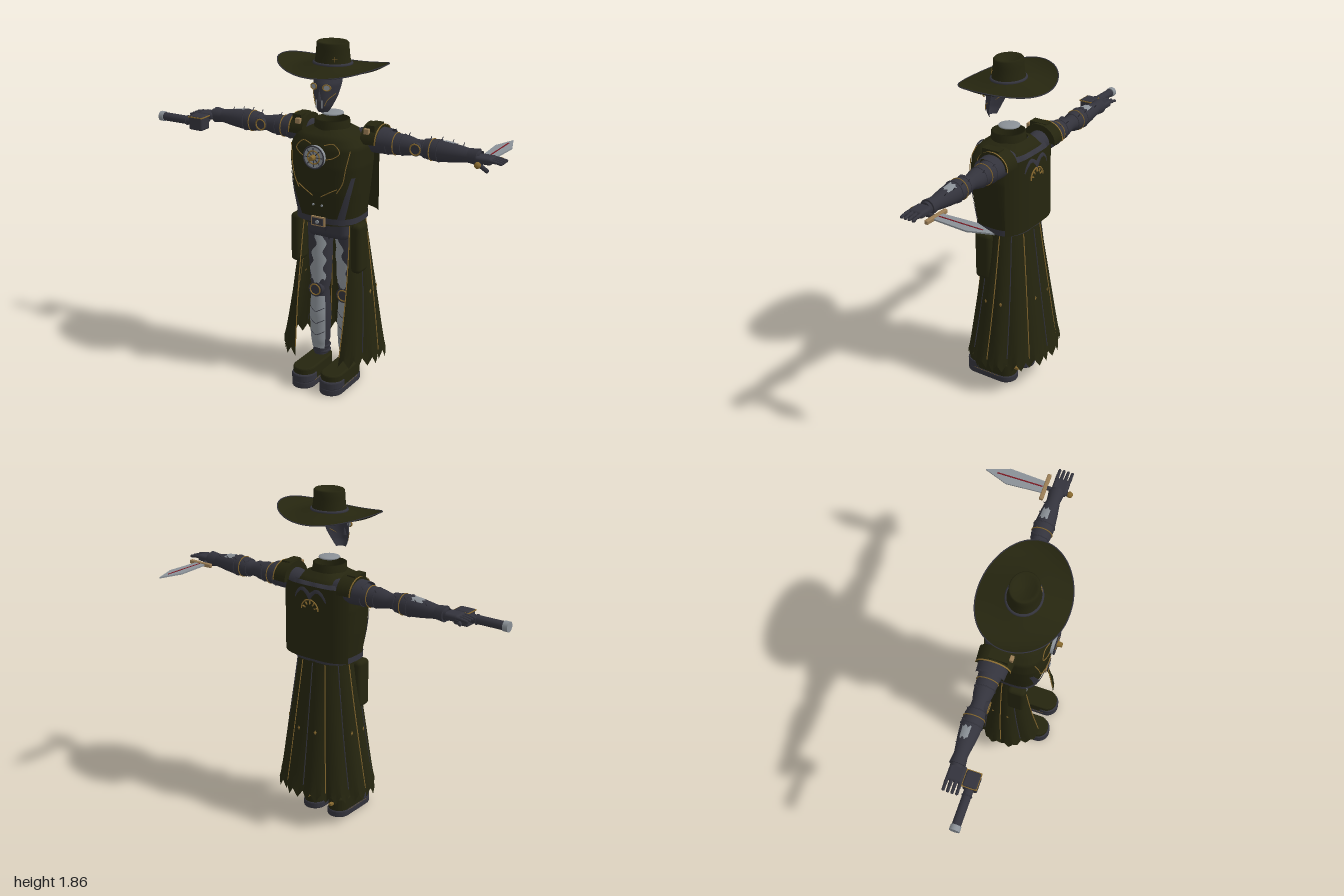
import * as THREE from 'three';
import { ParametricGeometry } from 'three/addons/geometries/ParametricGeometry.js';
import { RoundedBoxGeometry } from 'three/addons/geometries/RoundedBoxGeometry.js';

const mat = (name, color) => {
  const m = new THREE.MeshStandardMaterial({ color, side: THREE.DoubleSide });
  m.name = name;
  return m;
};
const { lerp } = THREE.MathUtils;
const V = (x, y, z) => new THREE.Vector3(x, y, z);

export function createModel() {
  const coat = mat('olive cloth', 0x25250f), dark = mat('dark leather', 0x33333c);
  const steel = mat('pale steel', 0x8a9096), gold = mat('old gold', 0x86682e);
  const red = mat('red inlay', 0x7a1822), tan = mat('tan brass', 0x9a7d55);

  const root = new THREE.Group();
  const body = new THREE.Group();
  body.name = 'figure';
  body.position.x = 0.08;
  root.add(body);

  const add = (name, geo, m, x = 0, y = 0, z = 0, rx = 0, ry = 0, rz = 0) => {
    const mesh = new THREE.Mesh(geo, m);
    mesh.name = name;
    mesh.position.set(x, y, z);
    mesh.rotation.set(rx, ry, rz);
    body.add(mesh);
    return mesh;
  };
  // surface from a rule (u, v) => point
  const sheet = (name, m, f, nu = 24, nv = 8) =>
    add(name, new ParametricGeometry((u, v, t) => t.copy(f(u, v)), nu, nv), m);
  const tube = (name, m, pts, r = 0.003) =>
    add(name, new THREE.TubeGeometry(new THREE.CatmullRomCurve3(pts), pts.length * 4, r, 5), m);
  const box = (w, h, d) => new THREE.BoxGeometry(w, h, d);
  const rbox = (w, h, d, r) => new RoundedBoxGeometry(w, h, d, 2, r);
  const cyl = (a, b, h, n = 20) => new THREE.CylinderGeometry(a, b, h, n);
  const lathe = (pts, n = 24) => new THREE.LatheGeometry(pts.map(p => new THREE.Vector2(p[0], p[1])), n);
  // linear lookup in rows keyed by their first number
  const look = (rows, k) => {
    let i = 0;
    while (i < rows.length - 2 && k > rows[i + 1][0]) i++;
    const f = THREE.MathUtils.clamp((k - rows[i][0]) / (rows[i + 1][0] - rows[i][0]), 0, 1);
    return rows[i].map((n, j) => lerp(n, rows[i + 1][j], f));
  };
  const pow = (n, e) => Math.sign(n) * Math.abs(n) ** e;

  // Hat: curled brim, dented crown, band
  sheet('hatBrim', coat, (u, v) => {
    const a = u * Math.PI * 2, s = 1 - v, c2 = Math.cos(a) ** 2, s2 = 1 - c2;
    return V(Math.sin(a) * lerp(0.09, 0.295, s), 1.75 - 0.038 * s * c2 + s2 * (-0.065 * s + 0.08 * s ** 3),
      0.12 + Math.cos(a) * lerp(0.075, 0.228, s));
  }, 48, 10);
  tube('brimEdge', dark, Array.from({ length: 33 }, (_, i) => {
    const a = i / 32 * Math.PI * 2, c2 = Math.cos(a) ** 2;
    return V(Math.sin(a) * 0.295, 1.75 - 0.038 * c2 + (1 - c2) * 0.015, 0.12 + Math.cos(a) * 0.228);
  }));
  add('hatCrown', lathe([[0.098, 1.74], [0.09, 1.78], [0.086, 1.82], [0.085, 1.85], [0.078, 1.857], [0.06, 1.85], [0.03, 1.838], [0, 1.835]], 32),
    coat, 0, 0, 0.12).scale.z = 0.88;
  add('hatBand', new THREE.TorusGeometry(0.097, 0.009, 8, 32), dark, 0, 1.748, 0.12, Math.PI / 2).scale.y = 0.88;
  for (const r of [0, Math.PI / 2]) add('hatStitch', box(0.028, 0.003, 0.003), gold, 0.05, 1.78, 0.189, 0, 0.5, r);

  // Face mask
  const maskRows = [[1.52, 0.03, 0.245], [1.55, 0.05, 0.257], [1.6, 0.07, 0.255], [1.66, 0.083, 0.248], [1.69, 0.08, 0.232]];
  const maskPt = (k, y, off = 0) => {
    const [, w, z] = look(maskRows, y);
    return V(k * w, y, z + off - 0.075 * Math.abs(k) ** 2.2 * (w / 0.083));
  };
  sheet('faceMask', dark, (u, v) => maskPt(u * 2 - 1, lerp(1.52, 1.69, v)), 12, 8);
  for (const s of [-1, 1]) {
    add('eyeLens', cyl(0.016, 0.016, 0.006), steel, s * 0.037, 1.648, 0.243, Math.PI / 2, 0, -s * 0.3);
    add('eyeRim', new THREE.TorusGeometry(0.02, 0.004, 6, 16), gold, s * 0.037, 1.648, 0.246, 0, s * 0.3).scale.y = 0.75;
    tube('maskTrim', gold, [0.9, 0.6, 0.5].map((k, i) => maskPt(s * k, 1.615 - i * 0.03, 0.003)), 0.002);
    add('maskVent', box(0.006, 0.04, 0.004), steel, s * 0.016, 1.565, 0.257);
  }
  add('maskNose', new THREE.ConeGeometry(0.014, 0.06, 4), dark, 0, 1.61, 0.256);

  // Neck cap and collar
  add('neckCap', new THREE.SphereGeometry(0.058, 20, 10), steel, 0, 1.49, 0.12).scale.y = 0.2;
  add('collar', lathe([[0.096, 1.39], [0.09, 1.462], [0.082, 1.465], [0.08, 1.39]]), coat, 0, 0, 0.125);

  // Torso
  const torsoRows = [[0.95, 0.172, 0.262, -0.02], [1.1, 0.192, 0.282, -0.032], [1.25, 0.208, 0.288, -0.038],
    [1.34, 0.205, 0.28, -0.034], [1.39, 0.165, 0.26, -0.01], [1.425, 0.085, 0.21, 0.03]];
  const torsoPt = (a, y, off = 0) => {
    const [, w, f, b] = look(torsoRows, y);
    return V((w + off) * pow(Math.sin(a), 0.7), y, (f + b) / 2 + ((f - b) / 2 + off) * pow(Math.cos(a), 0.7));
  };
  sheet('coatTorso', coat, (u, v) => torsoPt(u * Math.PI * 2, lerp(0.95, 1.425, v)), 48, 20);
  sheet('backPanel', coat, (u, v) => {
    const k = 1 - u * 2;
    return V(k * 0.21, lerp(0.965, 1.37, v), -0.047 + 0.055 * k ** 4);
  }, 16, 4);
  sheet('backYoke', dark, (u, v) => {
    const k = 1 - u * 2;
    return V(k * 0.16, lerp(1.385, 1.29 + 0.05 * Math.abs(Math.sin(k * 5)), 1 - v), -0.053 + 0.05 * k ** 4 + 0.03 * v * v);
  }, 16, 4);
  add('backArc', new THREE.TorusGeometry(0.055, 0.004, 6, 20, Math.PI), gold, 0, 1.24, -0.05);
  for (let i = 0; i < 5; i++) {
    const a = Math.PI * (i + 0.5) / 5;
    add('backArcStud', box(0.006, 0.018, 0.006), gold, Math.cos(a) * 0.04, 1.24 + Math.sin(a) * 0.04, -0.05, 0, 0, a - Math.PI / 2);
  }
  for (const s of [-1, 1]) {
    sheet('frontDarkStrip', dark, (u, v) => torsoPt(s * (lerp(0.62, 1.0, v) + (u - 0.5) * lerp(0.16, 0.3, 1 - v)), lerp(0.97, 1.2, v), 0.004), 4, 6);
    const chest = [
      [[0.1, 1.36], [0.35, 1.37], [0.5, 1.33], [0.3, 1.3], [0.12, 1.29]],
      [[0.85, 1.34], [0.7, 1.25], [0.62, 1.17], [0.45, 1.12]],
      [[0.05, 1.09], [0.25, 1.12], [0.45, 1.14]]];
    for (const line of chest) tube('chestCord', gold, line.map(([a, y]) => torsoPt(s * a, y, 0.004)), 0.0025);
    add('chestStud', cyl(0.006, 0.006, 0.01, 8), steel, s * 0.025, 1.04, 0.275, Math.PI / 2);
  }

  // Chest medallion
  add('medallionDisc', cyl(0.056, 0.06, 0.02, 28), steel, -0.005, 1.3, 0.296, Math.PI / 2);
  for (const r of [0.058, 0.034]) add('medallionRing', new THREE.TorusGeometry(r, 0.004, 6, 28), r > 0.05 ? dark : gold, -0.005, 1.3, 0.306);
  for (let i = 0; i < 4; i++) add('medallionSpoke', box(0.1, 0.004, 0.004), dark, -0.005, 1.3, 0.307, 0, 0, i * Math.PI / 4);
  add('medallionHub', cyl(0.012, 0.016, 0.03, 12), gold, -0.005, 1.3, 0.32, Math.PI / 2);

  // Belt and buckle
  sheet('belt', dark, (u, v) => torsoPt(u * Math.PI * 2, 0.95, 0.006).setY(lerp(0.94, 0.972, v)), 40, 2);
  sheet('waistWrap', coat, (u, v) => {
    const a = u * Math.PI * 2;
    return V(Math.sin(a) * 0.175, lerp(0.925, 0.955, v), 0.115 + Math.cos(a) * 0.14);
  }, 32, 2);
  add('buckleFrame', box(0.08, 0.05, 0.012), tan, 0, 0.95, 0.27);
  add('buckleFace', box(0.064, 0.036, 0.008), dark, 0, 0.95, 0.275);
  add('buckleStud', cyl(0.01, 0.01, 0.008, 12), steel, 0, 0.95, 0.281, Math.PI / 2);

  // Long coat skirt: open front, pleats, ragged hem
  const panels = 10;
  const skirtPt = (u, t, off = 0) => {
    const open = lerp(0.9, 0.5, t), a = open + u * (Math.PI * 2 - 2 * open);
    const pl = Math.abs(Math.sin(u * panels * Math.PI)) * 0.018 * t + off;
    const hem = 0.045 * Math.abs(((u * panels * 2.5 + 0.5) % 1) * 2 - 1) * t ** 10;
    return V(Math.sin(a) * (lerp(0.17, 0.272, t) + pl), 0.95 - 0.79 * t + hem, 0.1 + Math.cos(a) * (lerp(0.125, 0.222, t) + pl));
  };
  sheet('coatSkirt', coat, (u, v) => skirtPt(u, 1 - v), 150, 14);
  for (let k = 0; k <= panels; k++)
    tube('skirtSeam', k % 2 ? dark : gold, [0.02, 0.3, 0.6, 0.93].map(t => skirtPt(k / panels, t, 0.002)), 0.003);
  for (const u of [0.15, 0.25, 0.45, 0.55, 0.75, 0.85]) {
    const p = skirtPt(u, 0.5, 0.002);
    const flower = add('skirtFlower', new THREE.OctahedronGeometry(0.014), gold, p.x, p.y, p.z);
    flower.lookAt(p.x * 2, p.y, p.z * 2 - 0.1);
    flower.scale.set(0.6, 1, 0.25);
  }

  // Hips
  add('hips', rbox(0.25, 0.13, 0.17, 0.04), dark, 0, 0.89, 0.11);
  add('hipFlap', new THREE.ConeGeometry(0.07, 0.12, 4), dark, 0, 0.87, 0.16, Math.PI, 0, 0);

  const legRows = [[0.09, 0.036], [0.17, 0.042], [0.2, 0.05], [0.35, 0.056], [0.45, 0.05], [0.5, 0.046], [0.55, 0.056], [0.7, 0.064], [0.85, 0.068], [0.92, 0.06]];
  const armRows = [[0.1, 0.05], [0.16, 0.062], [0.24, 0.063], [0.33, 0.056], [0.4, 0.05], [0.44, 0.04], [0.47, 0.04], [0.51, 0.053], [0.56, 0.056], [0.64, 0.048], [0.72, 0.036], [0.79, 0.032]];
  const flip = rows => rows.map(([a, b]) => [b, a]);
  const stadium = (w, len, h) => {
    const sh = new THREE.Shape(), r = w / 2, e = len / 2 - r;
    sh.absarc(0, e, r, 0, Math.PI).absarc(0, -e, r, Math.PI, Math.PI * 2);
    const g = new THREE.ExtrudeGeometry(sh, { depth: h, bevelSize: 0.008, bevelThickness: 0.008, bevelOffset: -0.008, bevelSegments: 2, curveSegments: 12 });
    return g.rotateX(-Math.PI / 2);
  };

  for (const s of [-1, 1]) {
    // Side pouch
    add('sidePouch', rbox(0.06, 0.27, 0.1, 0.024), coat, s * 0.18, 0.805, 0.16);

    // Leg with armour following its surface
    const lx = s * 0.085, lz = 0.1;
    add('leg', lathe(flip(legRows)), dark, lx, 0, lz);
    const legPt = (a, y) => {
      const r = look(legRows, y)[1] + 0.005;
      return V(lx + Math.sin(a) * r, y, lz + Math.cos(a) * r);
    };
    sheet('shinPlate', steel, (u, v) => legPt((u - 0.5) * 1.9, lerp(0.16 - 0.015 * Math.abs(u - 0.5), 0.47, v)), 12, 10);
    for (const y of [0.24, 0.31, 0.38])
      tube('shinLine', dark, [-0.85, -0.4, 0, 0.4, 0.85].map(a => legPt(a, y + Math.abs(a) * 0.025)), 0.002);
    sheet('thighPatch', steel, (u, v) => {
      const jag = 0.16 * Math.sin(v * 19), mid = -s * lerp(0.1, 0.55, v);
      return legPt(mid + (u - 0.5) * (1.5 - 1.0 * v) + jag, lerp(0.555 + 0.02 * Math.sin(u * 9), 0.85, v));
    }, 10, 24);
    add('kneeJoint', cyl(0.042, 0.042, 0.03, 16), dark, lx, 0.51, lz + 0.045, Math.PI / 2);
    add('kneeRing', new THREE.TorusGeometry(0.03, 0.004, 6, 18), gold, lx, 0.51, lz + 0.062);
    for (const y of [0.13, 0.16]) add('ankleRing', new THREE.TorusGeometry(0.042, 0.008, 6, 18), dark, lx, y, lz - 0.01, Math.PI / 2);

    // Boot
    add('bootSole', stadium(0.13, 0.31, 0.025), dark, lx, 0.009, 0.19);
    add('bootUpper', stadium(0.122, 0.295, 0.065), coat, lx, 0.042, 0.187);
    add('bootToeCap', stadium(0.13, 0.14, 0.03), dark, lx, 0.043, 0.275);
    add('bootSide', box(0.128, 0.004, 0.17), gold, lx, 0.036, 0.19);
    add('heelSpur', box(0.02, 0.012, 0.03), gold, lx, 0.085, 0.03);

    // Shoulder guards
    const guard = (name, m, x0, x1, r0, r1) => sheet(name, m, (u, v) => {
      const a = (u - 0.5) * 3.3, r = lerp(r0, r1, v);
      return V(s * lerp(x0, x1, v), 1.362 + Math.cos(a) * r, 0.05 + Math.sin(a) * (r + 0.01));
    }, 20, 3);
    guard('shoulderGuard', coat, 0.17, 0.25, 0.088, 0.082);
    guard('shoulderGuardEnd', coat, 0.25, 0.25, 0.082, 0.055);
    guard('shoulderGuardSide', coat, 0.17, 0.17, 0.04, 0.088);
    guard('outerGuard', dark, 0.25, 0.305, 0.068, 0.064);
    guard('guardTrim', gold, 0.248, 0.256, 0.0835, 0.0835);
    add('shoulderTab', box(0.05, 0.04, 0.1), coat, s * 0.215, 1.43, 0.07);
    add('shoulderClasp', rbox(0.03, 0.03, 0.02, 0.004), tan, s * 0.2, 1.42, 0.13);

    // Arm
    const ay = 1.355, az = 0.048;
    add('arm', lathe(flip(armRows)), dark, 0, ay, az, 0, 0, -s * Math.PI / 2);
    for (const d of [0.29, 0.33, 0.37, 0.49, 0.53, 0.57])
      add('armBand', new THREE.TorusGeometry(look(armRows, d)[1] + 0.001, 0.003, 5, 24), d === 0.33 || d === 0.53 ? gold : dark, s * d, ay, az, 0, Math.PI / 2);
    add('elbowDisc', cyl(0.034, 0.034, 0.02, 16), dark, s * 0.455, ay, az + 0.04, Math.PI / 2);
    add('elbowRing', new THREE.TorusGeometry(0.028, 0.004, 6, 18), gold, s * 0.455, ay, az + 0.05);
    sheet('forearmPatch', steel, (u, v) => {
      const d = lerp(0.59, 0.65, u) + 0.008 * Math.sin(v * 12), a = lerp(-0.5, 0.35, v) - 0.2, r = look(armRows, d)[1] + 0.003;
      return V(s * d, ay + Math.cos(a) * r, az + Math.sin(a) * r);
    }, 6, 6);
    for (const d of [0.3, 0.38, 0.5, 0.56, 0.62, 0.68])
      add('armSpike', cyl(0.002, 0.003, 0.035, 5), dark, s * d, ay + look(armRows, d)[1] * 0.8, az - look(armRows, d)[1] * 0.7, -0.7);

    // Hand: cuff, palm, fingers, thumb
    add('cuff', cyl(0.042, 0.036, 0.05, 16), dark, s * 0.75, ay, az, 0, 0, -s * Math.PI / 2);
    add('palm', rbox(0.09, 0.036, 0.085, 0.014), dark, s * 0.815, 1.352, 0.058);
    for (let i = 0; i < 4; i++) {
      const z = 0.024 + i * 0.023, n = i === 0 || i === 3 ? 0.9 : 1;
      add('fingerBase', new THREE.CapsuleGeometry(0.009, 0.03 * n, 3, 8), dark, s * 0.868, 1.356, z, 0, 0, s * 1.5);
      add('fingerTip', new THREE.CapsuleGeometry(0.008, 0.022 * n, 3, 8), dark, s * 0.9, 1.352, z, 0, 0, s * 1.4);
    }
    add('thumb', new THREE.CapsuleGeometry(0.011, 0.05, 3, 8), dark, s * 0.815, 1.318, 0.09, 0.3, 0, s * 0.9);
  }

  // Pistol beside the right hand, muzzle outward
  add('pistolBody', rbox(0.085, 0.08, 0.075, 0.01), dark, -0.825, 1.328, 0.14);
  add('pistolBarrel', cyl(0.023, 0.023, 0.2), dark, -0.955, 1.328, 0.14, 0, 0, Math.PI / 2);
  add('pistolMuzzle', cyl(0.027, 0.027, 0.028), steel, -1.066, 1.328, 0.14, 0, 0, Math.PI / 2);
  add('pistolTrim', box(0.09, 0.006, 0.079), gold, -0.825, 1.36, 0.14);
  add('pistolRing', new THREE.TorusGeometry(0.024, 0.004, 6, 18), dark, -0.9, 1.328, 0.14, 0, Math.PI / 2);

  // Dagger in the left hand, pointing back
  const blade = new THREE.Shape();
  [[-0.034, 0], [-0.046, 0.2], [-0.03, 0.24], [0, 0.325], [0.03, 0.24], [0.046, 0.2], [0.034, 0]]
    .forEach(([x, y], i) => (i ? blade.lineTo(x, y) : blade.moveTo(x, y)));
  add('daggerBlade', new THREE.ExtrudeGeometry(blade, { depth: 0.008, bevelEnabled: false }), steel, 0.795, 1.333, -0.025, -Math.PI / 2);
  add('bladeInlay', box(0.007, 0.012, 0.25), red, 0.795, 1.337, -0.16);
  add('daggerGuard', rbox(0.155, 0.022, 0.022, 0.006), tan, 0.798, 1.337, -0.02);
  add('daggerGrip', cyl(0.012, 0.012, 0.13, 10), dark, 0.798, 1.334, 0.05, Math.PI / 2);
  add('daggerPommel', new THREE.SphereGeometry(0.017, 12, 8), gold, 0.798, 1.334, 0.115);

  return root;
}
